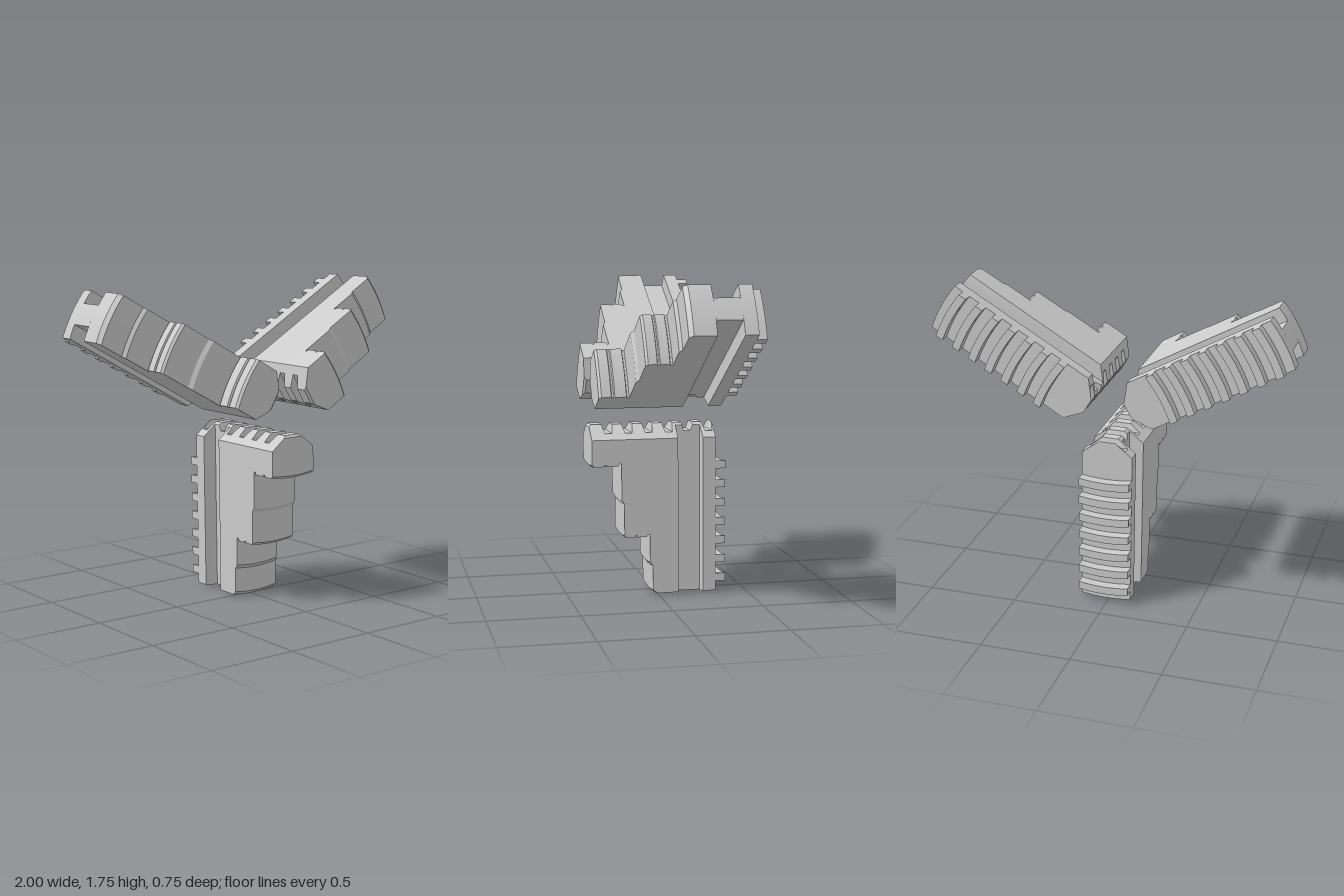
import * as THREE from 'three';
import { toCreasedNormals } from 'three/addons/utils/BufferGeometryUtils.js';

const HALF = 0.142;    // half width of a jaw
const TIP = 0.13;      // distance of the tip from the chuck axis
const ARC = 0.85;      // curvature of the outward faces
const ARC_STEPS = 12;

// Linear interpolation along [z, value] points
function sample(points, z) {
  if (z <= points[0][0]) return points[0][1];
  for (let i = 1; i < points.length; i++) {
    const [z0, v0] = points[i - 1], [z1, v1] = points[i];
    if (z <= z1) return v0 + (v1 - v0) * (z - z0) / (z1 - z0);
  }
  return points[points.length - 1][1];
}

// Curved edge across the jaw, from -w to +w, with its middle at radius r
function arc(r, w) {
  const pts = [];
  for (let i = 0; i <= ARC_STEPS; i++) {
    const x = -w + (2 * w * i) / ARC_STEPS;
    pts.push([x, -(r + Math.sqrt(ARC * ARC - x * x) - ARC)]);
  }
  return pts;
}

// Stepped outer end: radius along z, with chamfers and small relief grooves
const outer = [
  [-0.32, 1.083], [0.012, 1.083], [0.035, 1.063], [0.037, 0.925],
  [0.052, 0.905], [0.053, 0.75], [0.065, 0.75], [0.07, 0.763],
  [0.12, 0.763], [0.124, 0.753], [0.132, 0.753], [0.136, 0.763],
  [0.183, 0.763], [0.195, 0.75], [0.196, 0.575], [0.21, 0.553],
  [0.211, 0.35], [0.223, 0.35], [0.228, 0.365], [0.29, 0.365],
  [0.295, 0.355], [0.305, 0.355], [0.31, 0.365], [0.362, 0.365], [0.375, 0.352],
];

// Guide groove along both flanks
const width = [
  [-0.32, HALF], [-0.248, HALF], [-0.247, 0.062], [-0.108, 0.062], [-0.107, HALF], [0.375, HALF],
];

// Gripping notches across the tip
const inner = [[-0.32, TIP]];
for (let k = 5; k >= 0; k--) {
  const c = 0.275 - 0.1128 * k;
  inner.push([c - 0.03, TIP], [c - 0.019, 0.175], [c + 0.019, 0.175], [c + 0.03, TIP]);
}
inner.push([0.363, TIP], [0.375, 0.142]);

// Cross-section of the jaw: wedge tip, straight flanks, curved outer end
function section(z) {
  const w = sample(width, z), rIn = sample(inner, z), rOut = sample(outer, z);
  const slope = 1.28;
  const t = Math.min(w - 0.0005, 0.045 + (rIn - TIP) * slope);
  const side = Math.max(rIn + 0.001, TIP + (w - 0.045) / slope);
  return [[t, -rIn], [-t, -rIn], [-w, -side], ...arc(rOut, w), [w, -side]]
    .map(([x, y]) => [x, y, z]);
}

function bodyGeometry() {
  const zs = [...new Set([...outer, ...width, ...inner].map(p => p[0]))].sort((a, b) => a - b);
  const rings = zs.map(section);
  const n = rings[0].length;
  const pos = [];
  const tri = (a, b, c) => pos.push(...a, ...b, ...c);
  for (let i = 0; i < rings.length - 1; i++) {
    for (let j = 0; j < n; j++) {
      const k = (j + 1) % n;
      tri(rings[i][j], rings[i][k], rings[i + 1][k]);
      tri(rings[i][j], rings[i + 1][k], rings[i + 1][j]);
    }
  }
  const back = rings[0], front = rings[rings.length - 1];
  for (let j = 1; j < n - 1; j++) {
    tri(front[0], front[j], front[j + 1]);
    tri(back[0], back[j + 1], back[j]);
  }
  const geo = new THREE.BufferGeometry();
  geo.setAttribute('position', new THREE.Float32BufferAttribute(pos, 3));
  return toCreasedNormals(geo, 0.3);
}

// One curved tooth that engages the scroll plate
function toothGeometry(r) {
  const edge = [...arc(r + 0.023, HALF), ...arc(r - 0.021, HALF).reverse()];
  const shape = new THREE.Shape(edge.map(([x, y]) => new THREE.Vector2(x, y)));
  const geo = new THREE.ExtrudeGeometry(shape, { depth: 0.058, bevelEnabled: false });
  geo.translate(0, 0, -0.375);
  return toCreasedNormals(geo, 0.3);
}

export function createModel() {
  const material = new THREE.MeshStandardMaterial({ color: 0xcccccc });
  const body = bodyGeometry();
  const teeth = [];
  for (let k = 0; k < 7; k++) teeth.push(toothGeometry(1.007 - 0.106 * k));

  const model = new THREE.Group();
  model.name = 'chuckJaws';
  ['lowerJaw', 'leftJaw', 'rightJaw'].forEach((name, i) => {
    const jaw = new THREE.Group();
    jaw.name = name;
    const bodyMesh = new THREE.Mesh(body, material);
    bodyMesh.name = 'steppedBody';
    jaw.add(bodyMesh);
    teeth.forEach(geo => {
      const tooth = new THREE.Mesh(geo, material);
      tooth.name = 'scrollTooth';
      jaw.add(tooth);
    });
    jaw.position.set(0.005, 1.085, 0);
    jaw.rotation.z = THREE.MathUtils.degToRad(0.7 + 120 * i);
    model.add(jaw);
  });
  return model;
}
